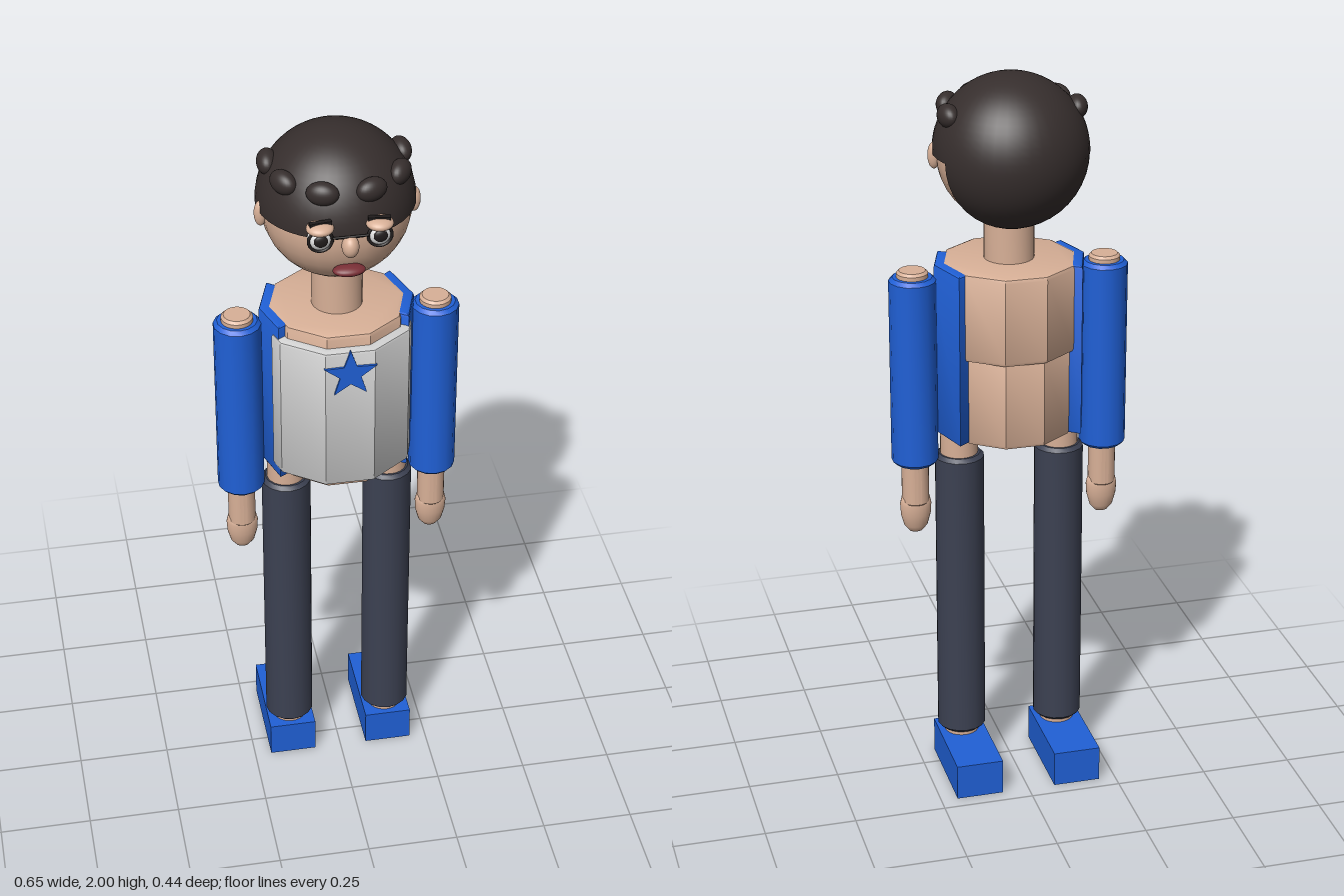
import * as THREE from 'three';
import { toCreasedNormals } from 'three/addons/utils/BufferGeometryUtils.js';

const mat = (name, color, extra = {}) => {
  const m = new THREE.MeshStandardMaterial({ color, ...extra });
  m.name = name;
  return m;
};

export function createModel() {
  const model = new THREE.Group();
  model.name = 'standingMan';
  const skin = mat('skin', 0xd8b097);
  const blue = mat('blue', 0x2060d6);
  const shirtGrey = mat('shirtGrey', 0xd2d2d2);
  const trouserGrey = mat('trouserGrey', 0x3c4152);
  const hairBrown = mat('hairBrown', 0x362e2d, { side: THREE.DoubleSide });
  const lipRed = mat('lipRed', 0x7a2f36);
  const eyeWhite = mat('eyeWhite', 0xe4e4e4);
  const black = mat('black', 0x201c1c);

  const add = (name, geo, material, x = 0, y = 0, z = 0) => {
    const mesh = new THREE.Mesh(geo, material);
    mesh.name = name;
    mesh.position.set(x, y, z);
    model.add(mesh);
    return mesh;
  };
  // Ellipsoid with half-sizes a, b, c
  const ball = (name, material, x, y, z, a, b, c) =>
    add(name, new THREE.SphereGeometry(1, 28, 18).scale(a, b, c), material, x, y, z);
  // Upright cylinder with small bevelled rims
  const rod = (name, material, x, z, r, y0, y1, bevel = 0.008, sides = 16) => {
    const pts = [[0, y0], [r - bevel, y0], [r, y0 + bevel], [r, y1 - bevel], [r - bevel, y1], [0, y1]]
      .map(p => new THREE.Vector2(...p));
    const geo = toCreasedNormals(new THREE.LatheGeometry(pts, sides), 0.5);
    return add(name, geo, material, x, 0, z);
  };

  // Ten-sided torso outline: flat face to the front, angle measured from +z
  const STEP = Math.PI / 5;
  const rim = (r, a) => {
    const off = a - Math.round(a / STEP) * STEP;
    const d = r * Math.cos(STEP / 2) / Math.cos(off);
    return new THREE.Vector2(Math.sin(a) * d, -Math.cos(a) * d);
  };
  const arc = (r, a0, a1) => {
    const angles = [a0];
    for (let k = -6; k <= 6; k++) {
      const a = (k + 0.5) * STEP;
      if (a > a0 + 0.01 && a < a1 - 0.01) angles.push(a);
    }
    angles.push(a1);
    return angles.map(a => rim(r, a));
  };
  const slab = (name, material, points, y0, y1, bevel) => {
    const geo = new THREE.ExtrudeGeometry(new THREE.Shape(points), {
      depth: y1 - y0 - 2 * bevel, bevelEnabled: true, bevelSize: bevel,
      bevelThickness: bevel, bevelOffset: -bevel, bevelSegments: 2,
    });
    geo.rotateX(-Math.PI / 2);
    return add(name, toCreasedNormals(geo, 0.4), material, 0, y0 + bevel, 0);
  };
  const shell = (name, material, r0, r1, d0, d1, y0, y1) => {
    const a0 = THREE.MathUtils.degToRad(d0), a1 = THREE.MathUtils.degToRad(d1);
    return slab(name, material, [...arc(r1, a0, a1), ...arc(r0, a0, a1).reverse()], y0, y1, 0.008);
  };
  const ring = r => Array.from({ length: 10 }, (_, k) => rim(r, (k + 0.5) * STEP));

  // Torso, shirt front and open-backed vest
  slab('upperTorso', skin, ring(0.182), 1.255, 1.5, 0.012);
  slab('lowerTorso', skin, ring(0.17), 1.015, 1.265, 0.012);
  shell('shirtFront', shirtGrey, 0.155, 0.209, -67, 67, 1.05, 1.465);
  shell('vestSide', blue, 0.155, 0.205, 58, 126, 1.02, 1.497);
  shell('vestSide', blue, 0.155, 0.205, -126, -58, 1.02, 1.497);

  // Five-pointed chest star
  const starPts = Array.from({ length: 10 }, (_, k) => {
    const r = k % 2 ? 0.029 : 0.072, a = k * Math.PI / 5;
    return new THREE.Vector2(Math.sin(a) * r, Math.cos(a) * r);
  }).reverse();
  add('chestStar', new THREE.ExtrudeGeometry(new THREE.Shape(starPts),
    { depth: 0.009, bevelEnabled: false }), blue, 0, 1.4, 0.196);

  // Neck, head and hair
  rod('neck', skin, 0, 0.005, 0.067, 1.48, 1.65, 0.004, 28);
  ball('head', skin, 0, 1.797, -0.003, 0.194, 0.197, 0.19);
  add('hairCap', new THREE.SphereGeometry(0.205, 40, 16, 0, Math.PI * 2, 0, Math.PI / 2),
    hairBrown, 0, 1.797, -0.015);
  add('hairBack', new THREE.SphereGeometry(0.204, 40, 16, 0, Math.PI * 2, 0, 1.22).rotateX(-Math.PI / 2),
    hairBrown, 0, 1.797, -0.015);

  // Nose and mouth
  ball('nose', skin, 0, 1.777, 0.192, 0.022, 0.03, 0.025);
  ball('mouth', lipRed, 0, 1.698, 0.175, 0.042, 0.014, 0.025);
  const bridge = add('glassesBridge', new THREE.CylinderGeometry(0.003, 0.003, 0.09, 8), black, 0, 1.806, 0.194);
  bridge.rotation.z = Math.PI / 2;

  for (const s of [-1, 1]) {
    // Eyes, lids, brows and glasses
    ball('eye', eyeWhite, s * 0.075, 1.8, 0.176, 0.031, 0.031, 0.027);
    ball('pupil', black, s * 0.075, 1.802, 0.197, 0.018, 0.017, 0.008);
    add('glassesRim', new THREE.TorusGeometry(0.03, 0.004, 8, 28), black, s * 0.075, 1.8, 0.19);
    ball('eyelid', skin, s * 0.075, 1.832, 0.183, 0.035, 0.016, 0.034);
    const brow = add('eyebrow', new THREE.BoxGeometry(0.056, 0.01, 0.013), black, s * 0.074, 1.846, 0.184);
    brow.rotation.y = s * -0.12;
    ball('ear', skin, s * 0.197, 1.79, 0.015, 0.017, 0.036, 0.015);

    // Curls around the hair
    for (const deg of [-7, 31, 69]) {
      const a = THREE.MathUtils.degToRad(deg);
      const curl = ball('hairCurl', hairBrown, s * Math.cos(a) * 0.172, 1.907,
        -0.015 + Math.sin(a) * 0.172, 0.027, 0.031, 0.042);
      curl.rotation.y = -s * a;
    }

    // Arms
    rod('sleeve', blue, s * 0.262, 0.003, 0.063, 0.938, 1.468, 0.01, 14);
    rod('upperArm', skin, s * 0.262, 0.003, 0.042, 1.4, 1.486, 0.007, 24);
    rod('forearm', skin, s * 0.262, 0.003, 0.037, 0.82, 0.96, 0.004, 24);
    const handPts = [[0, 0.73], [0.018, 0.735], [0.032, 0.752], [0.041, 0.785], [0.043, 0.815], [0.038, 0.837], [0, 0.84]]
      .map(p => new THREE.Vector2(...p));
    add('hand', new THREE.LatheGeometry(handPts, 24).scale(1, 1, 0.74), skin, s * 0.262, 0, 0.003);

    // Legs and shoes
    rod('hip', skin, s * 0.14, 0.003, 0.051, 0.93, 1.03, 0.004, 24);
    rod('trouserLeg', trouserGrey, s * 0.139, 0.003, 0.067, 0.115, 0.955, 0.01, 16);
    rod('ankle', skin, s * 0.139, 0.003, 0.047, 0.09, 0.13, 0.003, 24);
    add('shoe', new THREE.BoxGeometry(0.13, 0.1, 0.277), blue, s * 0.139, 0.05, -0.072);
  }
  return model;
}
